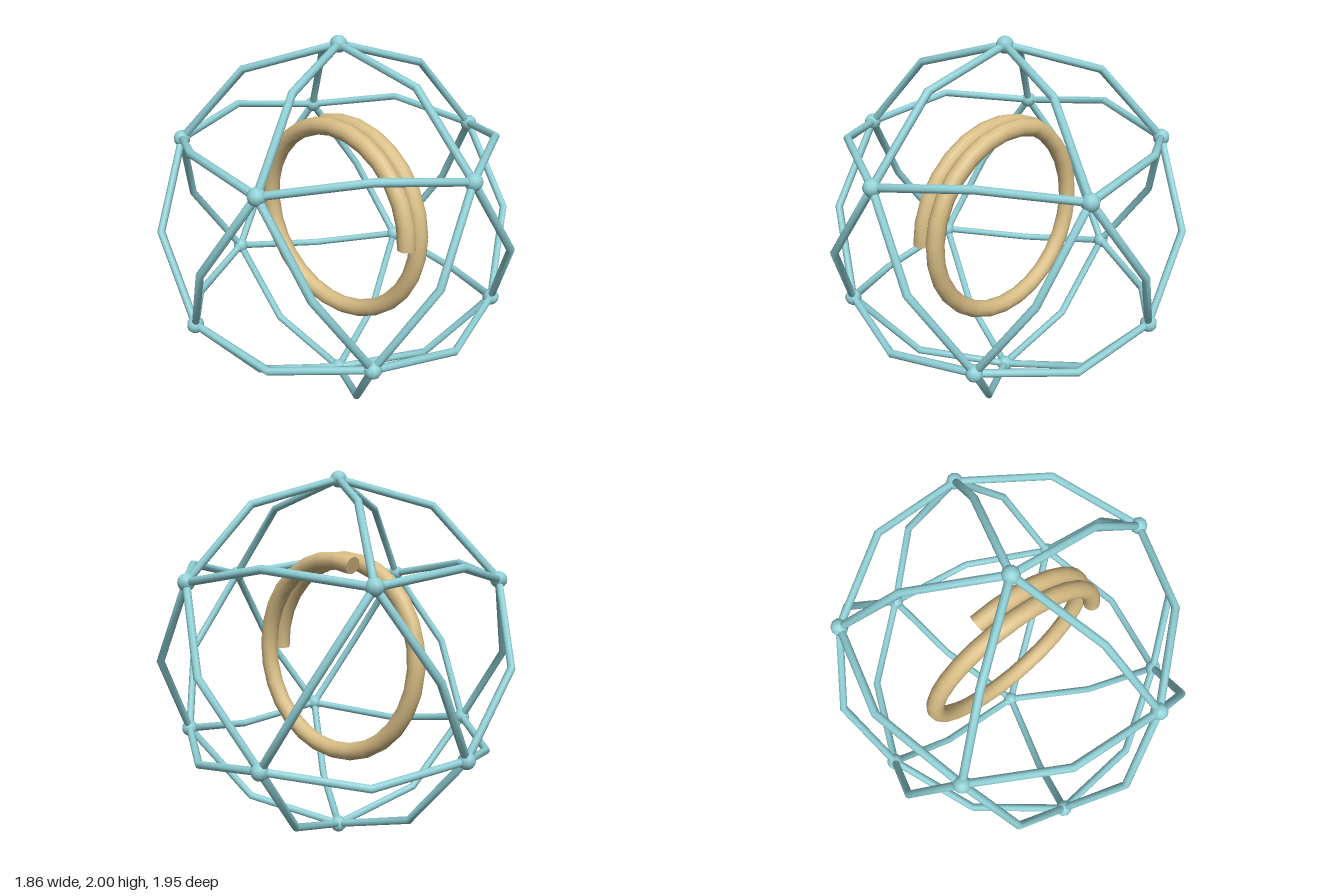
import * as THREE from 'three';

const RADIUS = 0.955;   // cage radius to node centres
const CENTRE_Y = 1;

// Arc over the sphere between two directions
class CageArc extends THREE.Curve {
  constructor(a, b) {
    super();
    this.a = a;
    this.b = b;
  }
  getPoint(t, target = new THREE.Vector3()) {
    return target.copy(this.a).lerp(this.b, t).normalize().multiplyScalar(RADIUS);
  }
}

// Loose coil around the z axis, 1.3 turns, drifting from front to back
class Coil extends THREE.Curve {
  getPoint(t, target = new THREE.Vector3()) {
    const a = t * 1.3 * Math.PI * 2;
    return target.set(0.527 * Math.cos(a), 0.527 * Math.sin(a), 0.065 - 0.13 * t);
  }
}

// Twelve icosahedron corners: two poles and two staggered rings of five
function cageCorners() {
  const corners = [new THREE.Vector3(0, 1, 0), new THREE.Vector3(0, -1, 0)];
  const h = 1 / Math.sqrt(5);
  for (let i = 0; i < 5; i++) {
    const a = (i * 2 * Math.PI) / 5;
    const x = 2 * h * Math.cos(a);
    const z = 2 * h * Math.sin(a);
    corners.push(new THREE.Vector3(x, h, z), new THREE.Vector3(-x, -h, -z));
  }
  return corners;
}

export function createModel() {
  const model = new THREE.Group();
  model.name = 'coilInCage';
  const teal = new THREE.MeshStandardMaterial({ name: 'teal', color: 0x8fd0d6 });
  const tan = new THREE.MeshStandardMaterial({ name: 'tan', color: 0xd8bd85 });

  // Cage: bent struts along every edge, small ball at every corner
  const cage = new THREE.Group();
  cage.name = 'cage';
  const corners = cageCorners();
  const ball = new THREE.SphereGeometry(0.045, 10, 8);
  corners.forEach((corner, i) => {
    const node = new THREE.Mesh(ball, teal);
    node.name = 'node';
    node.position.copy(corner).multiplyScalar(RADIUS);
    cage.add(node);
    for (const other of corners.slice(i + 1)) {
      if (corner.distanceTo(other) > 1.2 ) continue;
      const strut = new THREE.Mesh(
        new THREE.TubeGeometry(new CageArc(corner, other), 2, 0.021, 8), teal);
      strut.name = 'strut';
      cage.add(strut);
    }
  });
  cage.position.y = CENTRE_Y;
  model.add(cage);

  // Coil with a flat disc closing each end
  const coilGroup = new THREE.Group();
  coilGroup.name = 'coil';
  const curve = new Coil();
  const tube = new THREE.Mesh(new THREE.TubeGeometry(curve, 36, 0.048, 12), tan);
  tube.name = 'coilTube';
  coilGroup.add(tube);
  for (const t of [0, 1]) {
    const cap = new THREE.Mesh(new THREE.CircleGeometry(0.048, 12), tan);
    cap.name = 'coilEnd';
    const outward = curve.getTangentAt(t).multiplyScalar(t ? 1 : -1);
    cap.quaternion.setFromUnitVectors(new THREE.Vector3(0, 0, 1), outward);
    cap.position.copy(curve.getPointAt(t));
    coilGroup.add(cap);
  }
  coilGroup.position.y = CENTRE_Y;
  model.add(coilGroup);

  return model;
}
